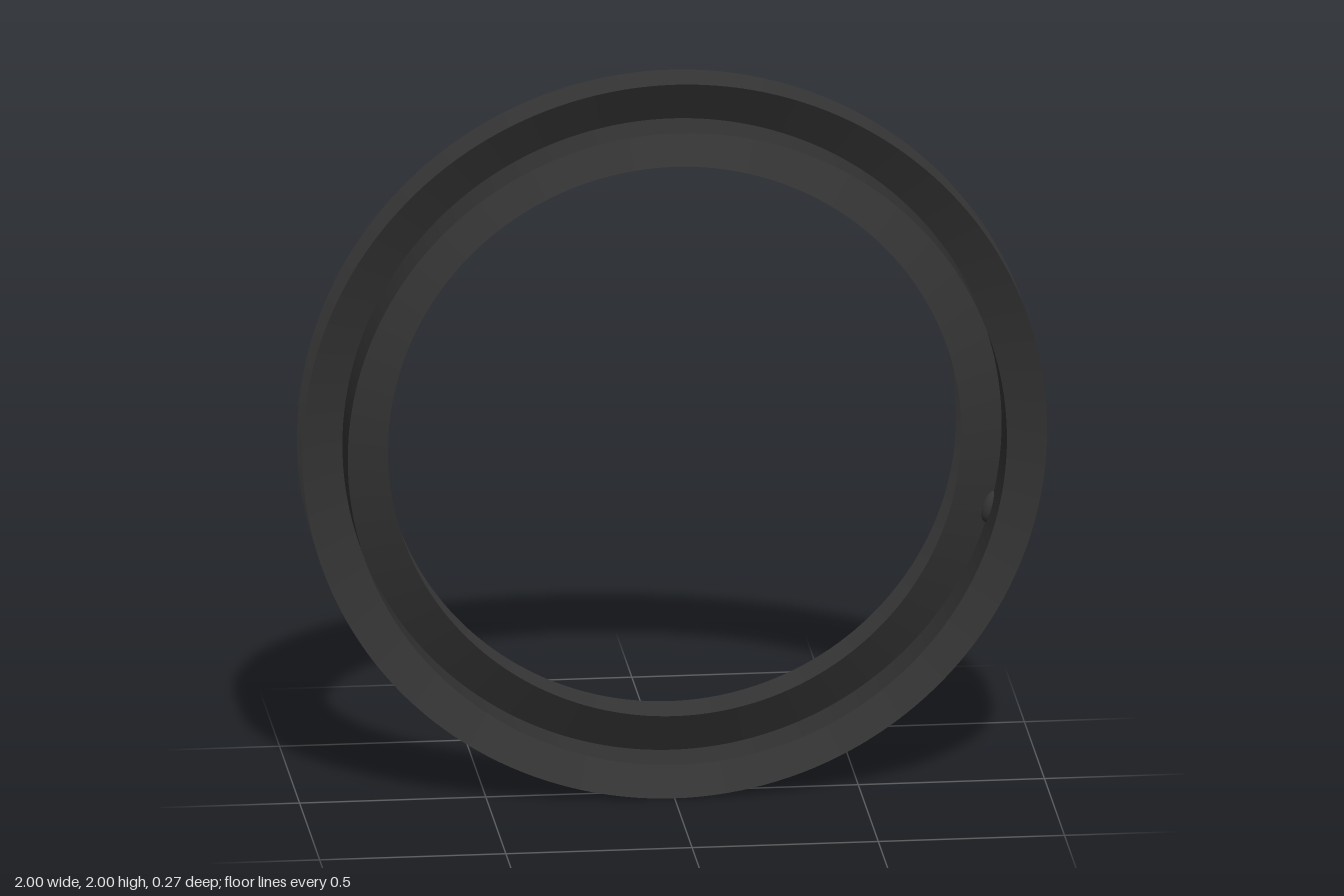
import * as THREE from 'three';

export function createModel() {
  const group = new THREE.Group();
  const material = new THREE.MeshStandardMaterial({ color: 0x333333, side: THREE.DoubleSide });
  const ringRadius = 0.885; // centre of the six-finned cross-section
  const finLength = 0.133;

  // Three thin bands cross at the core circle, 60 degrees apart
  ['flatBand', 'forwardConeBand', 'backwardConeBand'].forEach((name, i) => {
    const angle = Math.PI / 2 + (i * Math.PI) / 3;
    const profile = [-1, 0, 1].map((s) => new THREE.Vector2(
      ringRadius + s * finLength * Math.cos(angle),
      s * finLength * Math.sin(angle)
    ));
    const geometry = new THREE.LatheGeometry(profile, 180);
    geometry.rotateX(Math.PI / 2);
    const band = new THREE.Mesh(geometry, material);
    band.name = name;
    band.position.y = 1;
    group.add(band);
  });

  // Small swelling at the seam of the core
  const seamAngle = -0.265;
  const seam = new THREE.Mesh(new THREE.SphereGeometry(1, 20, 14), material);
  seam.name = 'coreSeam';
  seam.scale.set(0.025, 0.045, 0.028);
  seam.rotation.z = seamAngle;
  seam.position.set(ringRadius * Math.cos(seamAngle), 1 + ringRadius * Math.sin(seamAngle), 0);
  group.add(seam);

  return group;
}
